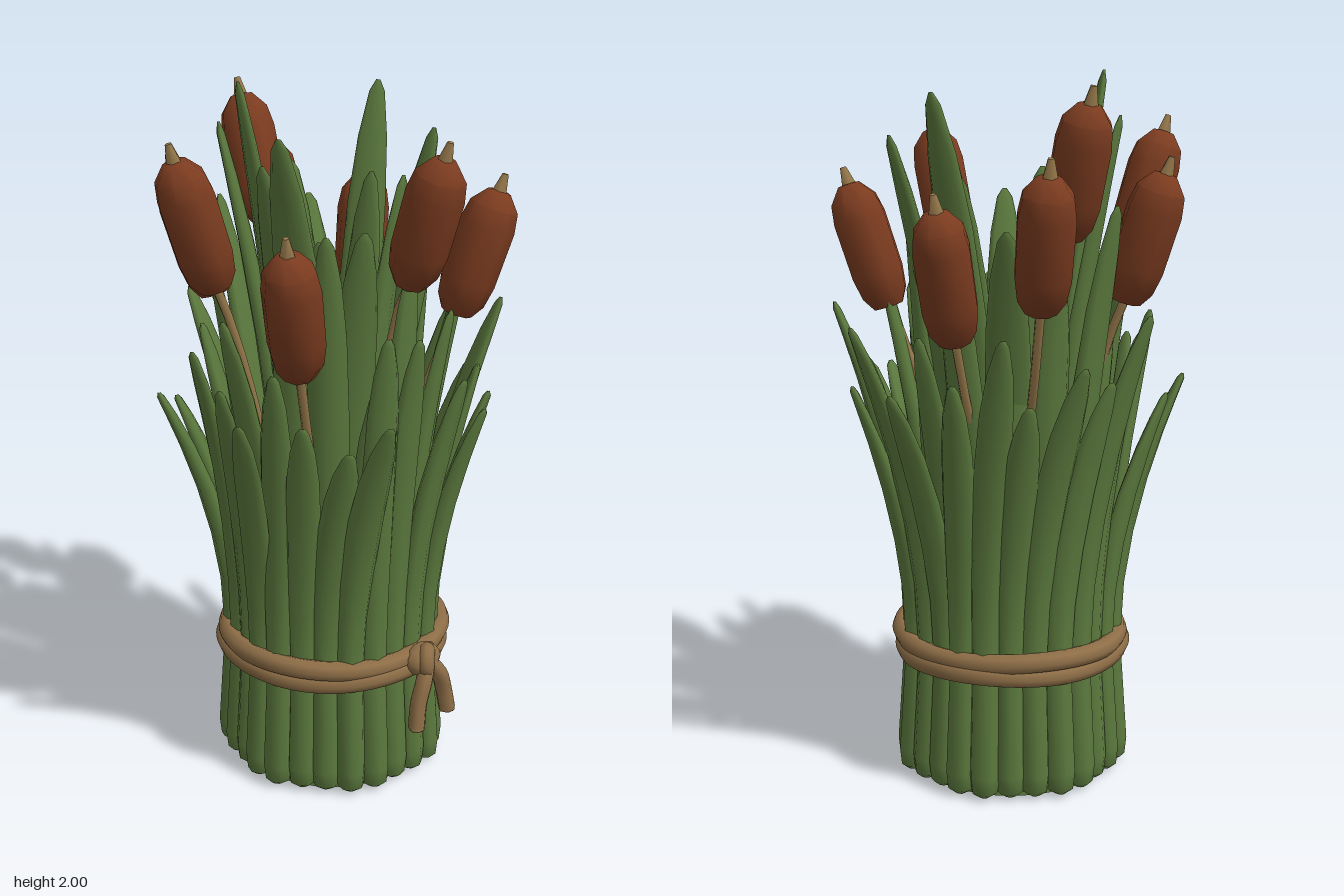
import * as THREE from 'three';
import { mergeGeometries, toCreasedNormals } from 'three/addons/utils/BufferGeometryUtils.js';

const UP = new THREE.Vector3(0, 1, 0);
const mat = (name, color) => {
  const m = new THREE.MeshStandardMaterial({ color });
  m.name = name;
  return m;
};

// One leaf: a round stalk at the base that flattens, bends outward and ends bluntly.
// base radius and angle, tip position, greatest half width
function leafGeometry(baseR, angle, [tx, ty, tz], wide) {
  const sides = 8;
  const bx = Math.cos(angle) * baseR, bz = Math.sin(angle) * baseR;
  const tipAngle = Math.atan2(tz, tx);
  const turn = Math.atan2(Math.sin(tipAngle - angle), Math.cos(tipAngle - angle));
  const f = (k) => 0.4 + (ty - 0.4) * k;
  // height, half width, half thickness
  const rows = [
    [0.005, 0.015, 0.015], [0.02, 0.038, 0.034], [0.07, 0.044, 0.042], [0.38, 0.041, 0.038],
    [f(0.2), wide * 0.92, 0.038], [f(0.4), wide, 0.036], [f(0.6), wide, 0.032],
    [f(0.78), wide * 0.9, 0.026], [f(0.9), wide * 0.68, 0.02], [f(0.98), wide * 0.36, 0.014], [ty, 0.006, 0.004],
  ];
  const pos = [], index = [];
  rows.forEach(([y, w, d], i) => {
    const s = Math.pow(Math.max(0, (y - 0.4) / (ty - 0.4)), 1.9);
    const pinch = 1 - 0.08 * Math.min(1, y / 0.4);
    const cx = THREE.MathUtils.lerp(bx * pinch, tx, s);
    const cz = THREE.MathUtils.lerp(bz * pinch, tz, s);
    const a = angle + turn * s, ux = Math.cos(a), uz = Math.sin(a);
    for (let j = 0; j < sides; j++) {
      const t = (j / sides) * Math.PI * 2, p = w * Math.cos(t);
      // the inner face is flatter than the outer one
      const q = d * Math.sin(t) * (Math.sin(t) < 0 ? 0.6 : 1);
      pos.push(cx - uz * p + ux * q, y, cz + ux * p + uz * q);
      if (i < rows.length - 1) {
        const b = i * sides + j, c = i * sides + ((j + 1) % sides);
        index.push(b, c, b + sides, c, c + sides, b + sides);
      }
    }
  });
  const g = new THREE.BufferGeometry();
  g.setAttribute('position', new THREE.Float32BufferAttribute(pos, 3));
  g.setIndex(index);
  g.computeVertexNormals();
  return g;
}

// Leaf tips, x y z
const OUTER_TIPS = [
  [0.44, 1.16, 0.01], [0.44, 1.15, 0.13], [0.39, 1.25, 0.19], [0.28, 1.38, 0.28], [0.21, 1.4, 0.35],
  [0.23, 1.19, 0.43], [0.12, 1.1, 0.4], [0, 1.17, 0.42], [-0.08, 1.3, 0.4], [-0.16, 1.18, 0.46],
  [-0.23, 1.24, 0.37], [-0.32, 1.32, 0.3], [-0.45, 1.16, 0.19], [-0.43, 1.12, 0.09], [-0.38, 1.3, -0.02],
  [-0.45, 1.37, -0.15], [-0.37, 1.2, -0.22], [-0.33, 1.25, -0.32], [-0.2, 1.15, -0.38], [-0.15, 1.33, -0.44],
  [0, 1.2, -0.42], [0.16, 1.17, -0.46], [0.31, 1.33, -0.38], [0.36, 1.15, -0.28], [0.45, 1.37, -0.2], [0.4, 1.2, -0.1],
];
const TALL_TIPS = [
  [-0.22, 2.0, 0.14], [0.06, 1.94, -0.4], [-0.05, 1.91, 0.44], [-0.3, 1.88, 0.04],
  [0.24, 1.83, -0.27], [-0.13, 1.81, 0.27], [0.2, 1.76, 0.06], [-0.14, 1.75, -0.13],
  [0.08, 1.72, -0.17], [0, 1.6, 0.18], [0.14, 1.66, 0.31], [0.29, 1.7, -0.1], [-0.15, 1.6, -0.42],
];

export function createModel() {
  const model = new THREE.Group();
  model.name = 'reedBundle';
  const green = mat('leaf green', 0x5c7a3e);
  const brown = mat('seed head brown', 0x7c3c20);
  const rope = mat('rope tan', 0x8e6e47);
  const straw = mat('stem straw', 0x987a4c);
  const add = (name, geometry, material, parent = model) => {
    const m = new THREE.Mesh(geometry, material);
    m.name = name;
    parent.add(m);
    return m;
  };

  // Outer leaves, whose stalks form the foot of the bundle
  add('outerLeaves', mergeGeometries(OUTER_TIPS.map((tip, i) =>
    leafGeometry(0.298 + 0.01 * Math.sin(i * 1.7), (i / 26) * Math.PI * 2, tip, 0.05))), green);

  // Middle leaves
  const middle = [];
  for (let i = 0; i < 15; i++) {
    const a = ((i + 0.4) / 15) * Math.PI * 2, b = a + 0.08 * Math.sin(i * 3.1);
    const r = [0.34, 0.29, 0.37][i % 3];
    middle.push(leafGeometry(0.23, a, [Math.cos(b) * r, [1.4, 1.55, 1.3, 1.65, 1.48][i % 5], Math.sin(b) * r], 0.056));
  }
  add('middleLeaves', mergeGeometries(middle), green);

  // Tall leaves spreading from the centre
  add('tallLeaves', mergeGeometries(TALL_TIPS.map((tip) =>
    leafGeometry(Math.min(0.14, Math.hypot(tip[0], tip[2]) * 0.4), Math.atan2(tip[2], tip[0]), tip, 0.064))), green);

  // Solid heart of the bundle with its flat underside, closing to a point among the leaves
  const core = [[0, 0], [0.285, 0], [0.24, 0.5], [0.17, 0.85], [0.09, 1.1], [0, 1.25]];
  add('bundleCore', toCreasedNormals(new THREE.LatheGeometry(core.map(([r, y]) => new THREE.Vector2(r, y)), 26), 0.8), green);

  // Cattails, by the upper end of each seed head
  const headProfile = [[0, 0], [0.044, 0.002], [0.067, 0.04], [0.077, 0.1], [0.078, 0.26], [0.068, 0.315], [0.032, 0.358], [0, 0.362]]
    .map(([r, y]) => new THREE.Vector2(r, y));
  const headGeometry = toCreasedNormals(new THREE.LatheGeometry(headProfile, 8), 0.85);
  const spikeGeometry = new THREE.CylinderGeometry(0.009, 0.022, 0.055, 5);
  [
    [-0.28, 1.74, -0.465], [0.01, 1.65, -0.49], [-0.31, 1.91, -0.25], [-0.45, 1.73, -0.03],
    [0.44, 1.69, -0.12], [0.325, 1.83, 0.205], [-0.335, 1.83, 0.35], [-0.02, 1.64, 0.485],
  ].forEach(([x, y, z]) => {
    const cattail = new THREE.Group();
    cattail.name = 'cattail';
    model.add(cattail);
    const top = new THREE.Vector3(x, y, z);
    const out = new THREE.Vector3(x, 0, z).normalize();
    const dir = out.clone().multiplyScalar(0.32).add(UP).normalize();
    const bottom = top.clone().addScaledVector(dir, -0.36);
    const head = add('seedHead', headGeometry, brown, cattail);
    head.position.copy(bottom);
    head.quaternion.setFromUnitVectors(UP, dir);
    const spike = add('headTip', spikeGeometry, straw, cattail);
    spike.position.copy(top).addScaledVector(dir, 0.02);
    spike.quaternion.copy(head.quaternion);
    // stem rising from inside the bundle
    const stem = new THREE.CatmullRomCurve3([
      out.clone().multiplyScalar(0.17).setY(0.4),
      out.clone().multiplyScalar(0.2).setY(0.85),
      bottom.clone().addScaledVector(out, -0.06).setY(bottom.y - 0.15),
      bottom.clone().addScaledVector(dir, 0.03),
    ]);
    add('stem', new THREE.TubeGeometry(stem, 10, 0.013, 6), straw, cattail);
  });

  // Rope: two wavy turns pressed together
  [[0.367, 0], [0.405, 2]].forEach(([y, phase]) => {
    const pts = [];
    for (let i = 0; i < 24; i++) {
      const a = (i / 24) * Math.PI * 2, r = 0.316 + 0.005 * Math.sin(3 * a + phase);
      pts.push(new THREE.Vector3(Math.cos(a) * r, y + 0.006 * Math.sin(3 * a + phase), Math.sin(a) * r));
    }
    add('ropeTurn', new THREE.TubeGeometry(new THREE.CatmullRomCurve3(pts, true), 72, 0.029, 8, true), rope);
  });

  // Knot with two hanging ends; local z points outward
  const knot = new THREE.Group();
  knot.name = 'ropeKnot';
  knot.position.set(0.285, 0.392, 0.165);
  knot.rotation.y = Math.atan2(0.285, 0.165);
  model.add(knot);
  add('knotBody', new THREE.SphereGeometry(0.05, 10, 8).scale(1.3, 0.95, 0.9).translate(0, 0, 0.01), rope, knot);
  const loop = add('knotLoop', new THREE.TorusGeometry(0.03, 0.024, 8, 14), rope, knot);
  loop.rotation.y = 0.6;
  loop.position.z = 0.025;
  [-1, 1].forEach((s) => {
    const curve = new THREE.CatmullRomCurve3([
      new THREE.Vector3(0, 0, 0.03), new THREE.Vector3(s * 0.035, -0.05, 0.045),
      new THREE.Vector3(s * 0.058, -0.11, 0.045), new THREE.Vector3(s * 0.072, -0.18, 0.05),
    ]);
    add('ropeEnd', new THREE.TubeGeometry(curve, 10, 0.025, 7), rope, knot);
    const cap = add('ropeEndCap', new THREE.SphereGeometry(0.025, 7, 6).scale(1, 0.4, 1), rope, knot);
    cap.position.set(s * 0.072, -0.18, 0.05);
  });
  return model;
}
